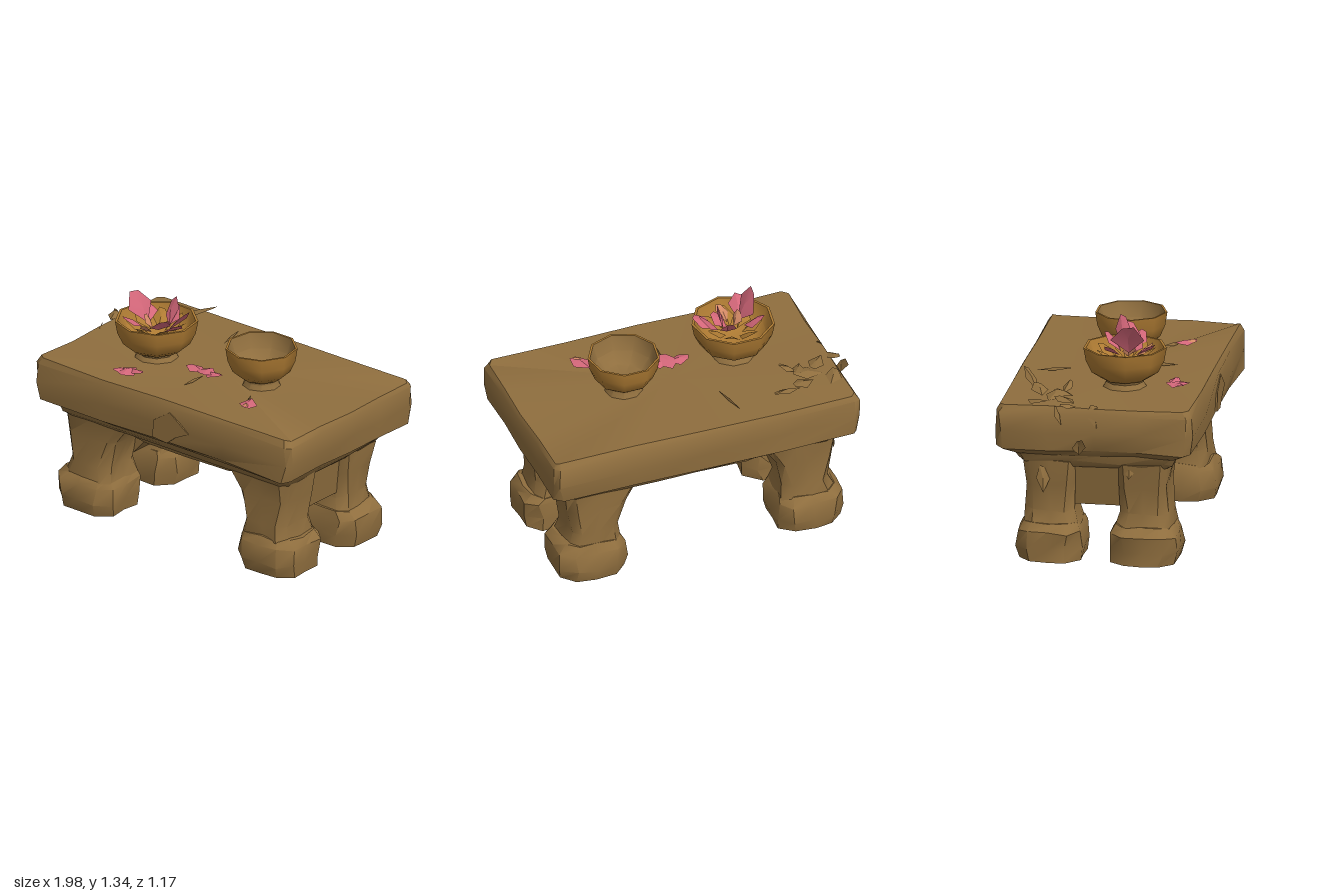
import * as THREE from 'three';
import { toCreasedNormals } from 'three/addons/utils/BufferGeometryUtils.js';

const mat = (name, color) => new THREE.MeshStandardMaterial({ name, color, side: THREE.DoubleSide });

// small seeded generator, returns -1..1
let seed = 7;
const rnd = () => {
  seed = (seed * 16807) % 2147483647;
  return (seed / 2147483647) * 2 - 1;
};

// Chipped stone block: rings of [y, x0, x1, z0, z1, corner], stacked from the bottom up
function stoneBlock(rings, rough, split = 2) {
  const pos = [], idx = [];
  for (const [y, x0, x1, z0, z1, c] of rings) {
    const p = [[x1, z1 - c], [x1, z0 + c], [x1 - c, z0], [x0 + c, z0],
      [x0, z0 + c], [x0, z1 - c], [x0 + c, z1], [x1 - c, z1]];
    p.forEach(([x, z], i) => {
      const [nx, nz] = p[(i + 1) % 8];
      const n = i % 2 ? 1 : split; // long sides are divided, chamfers are not
      for (let k = 0; k < n; k++) {
        const t = k / n;
        pos.push(x + (nx - x) * t + rnd() * rough, y + (y > 0.02 ? rnd() * rough : 0), z + (nz - z) * t + rnd() * rough);
      }
    });
  }
  const n = 4 * split + 4;
  const last = (rings.length - 1) * n;
  for (const r of [rings[0], rings[rings.length - 1]]) pos.push((r[1] + r[2]) / 2, r[0], (r[3] + r[4]) / 2);
  const bottom = rings.length * n, top = bottom + 1;
  for (let i = 0; i < n; i++) {
    const j = (i + 1) % n;
    for (let r = 0; r < last; r += n) idx.push(r + i, r + j, r + n + j, r + i, r + n + j, r + n + i);
    idx.push(bottom, j, i, top, last + i, last + j);
  }
  const g = new THREE.BufferGeometry();
  g.setAttribute('position', new THREE.Float32BufferAttribute(pos, 3));
  g.setIndex(idx);
  return toCreasedNormals(g, 0.75);
}

// Shallow five-sided leaf growing up from its base
function petalGeometry(len, w) {
  const g = new THREE.BufferGeometry();
  g.setAttribute('position', new THREE.Float32BufferAttribute([
    0, 0, 0, w, len * 0.55, 0.008, w * 0.45, len, 0, -w * 0.25, len * 0.93, 0,
    -w, len * 0.5, 0.008, 0, len * 0.5, -0.01], 3));
  g.setIndex([0, 1, 5, 1, 2, 5, 2, 3, 5, 3, 4, 5, 4, 0, 5]);
  return toCreasedNormals(g, 0.3);
}

export function createModel() {
  seed = 7;
  const model = new THREE.Group();
  const stone = mat('brown stone', 0x8f6e3e);
  const gold = mat('golden clay', 0xae7b33);
  const pink = mat('pink petal', 0xd4677a);
  const peach = mat('peach petal', 0xd58a66);
  const add = (name, geometry, material, parent = model) => {
    const m = new THREE.Mesh(geometry, material);
    m.name = name;
    parent.add(m);
    return m;
  };

  // Heavy table top with a bevelled underside
  add('tableTop', stoneBlock([
    [0.655, -0.85, 0.90, -0.50, 0.50, 0.04],
    [0.695, -0.91, 0.97, -0.57, 0.57, 0.04],
    [0.80, -0.92, 0.985, -0.575, 0.575, 0.03],
    [0.92, -0.915, 0.985, -0.575, 0.57, 0.03],
    [0.952, -0.90, 0.965, -0.555, 0.55, 0.03]], 0.008, 4), stone);

  // Apron below the top
  add('apron', stoneBlock([
    [0.57, -0.80, 0.82, -0.41, 0.41, 0.04],
    [0.61, -0.84, 0.86, -0.45, 0.45, 0.04],
    [0.67, -0.85, 0.89, -0.48, 0.48, 0.04]], 0.008, 3), stone);

  // Arched web between the leg pairs, and the slab over it
  const arch = new THREE.Shape([[-0.74, 0.33], [-0.5, 0.33], [-0.41, 0.43], [-0.18, 0.5], [0.22, 0.5],
    [0.4, 0.43], [0.5, 0.33], [0.76, 0.33], [0.8, 0.6], [-0.8, 0.6]].map(([x, y]) => new THREE.Vector2(x, y)));
  const archGeometry = new THREE.ExtrudeGeometry(arch, { depth: 0.36, bevelEnabled: false });
  archGeometry.translate(0, 0, -0.18);
  add('arch', archGeometry, stone);
  add('underSlab', stoneBlock([
    [0.50, -0.34, 0.36, -0.34, 0.31, 0.03],
    [0.59, -0.58, 0.60, -0.38, 0.37, 0.03]], 0.006), stone);

  // Four legs on block feet
  const legRings = [
    [0.20, 0.49, 0.83, 0.11, 0.43, 0.05],
    [0.30, 0.51, 0.80, 0.13, 0.42, 0.05],
    [0.46, 0.47, 0.82, 0.13, 0.41, 0.04],
    [0.60, 0.38, 0.84, 0.12, 0.42, 0.04]];
  const footRings = [
    [0.005, 0.48, 0.875, 0.09, 0.46, 0.08],
    [0.08, 0.47, 0.88, 0.09, 0.48, 0.08],
    [0.18, 0.475, 0.88, 0.09, 0.46, 0.07],
    [0.225, 0.50, 0.84, 0.11, 0.43, 0.06]];
  const place = (sx, sz) => ([y, x0, x1, z0, z1, c]) =>
    [y, sx > 0 ? x0 : -x1, sx > 0 ? x1 : -x0, sz > 0 ? z0 : -z1, sz > 0 ? z1 : -z0, c];
  for (const sx of [1, -1]) for (const sz of [1, -1]) {
    const label = (sz > 0 ? 'front' : 'back') + (sx > 0 ? 'Left' : 'Right');
    add(label + 'Leg', stoneBlock(legRings.map(place(sx, sz)), 0.01), stone);
    add(label + 'Foot', stoneBlock(footRings.map(place(sx, sz)), 0.01), stone);
  }

  // Two faceted bowls, each on a short stone foot
  const bowl = (name, x, z, r, sides, inner) => {
    const g = new THREE.Group();
    g.name = name;
    g.position.set(x, 0.94, z);
    model.add(g);
    const lathe = pts => toCreasedNormals(
      new THREE.LatheGeometry(pts.map(([a, b]) => new THREE.Vector2(a, b)), sides), 0.75);
    add(name + 'Shell', lathe([[0.001, 0.06], [r * 0.55, 0.06], [r * 0.8, 0.1], [r * 0.94, 0.17], [r, 0.25],
      [r * 0.94, 0.25]]), gold, g);
    add(name + 'Inside', lathe([[r * 0.94, 0.25], [r * 0.82, 0.16], [r * 0.55, 0.1], [0.001, 0.09]]), inner, g);
    add(name + 'Foot', lathe([[r * 0.56, 0], [r * 0.45, 0.04], [r * 0.5, 0.08]]), stone, g);
  };
  bowl('flowerBowl', -0.39, 0.1, 0.245, 9, gold);
  bowl('emptyBowl', 0.325, 0.015, 0.212, 9, stone);

  // Petals: [base x, y, z, length, half width, lean, heading]
  const petal = (name, [x, y, z, len, w, lean, heading], material) => {
    const p = add(name, petalGeometry(len, w), material);
    p.position.set(x, y, z);
    p.rotation.set(lean, heading, 0, 'YXZ');
  };
  [[-0.43, 1.16, 0.13, 0.21, 0.1, 0.5, -1.57], [-0.32, 1.15, 0.07, 0.2, 0.05, 0.2, 1.4],
    [-0.3, 1.14, 0.1, 0.19, 0.07, 0.75, 1.6], [-0.29, 1.14, 0.12, 0.16, 0.06, 1.0, 1.1],
    [-0.44, 1.15, 0.17, 0.15, 0.06, 1.0, -0.5], [-0.34, 1.14, 0.07, 0.15, 0.05, 0.7, 2.9],
    [-0.45, 1.15, 0.08, 0.14, 0.06, 1.0, -2.2], [-0.36, 1.13, 0.12, 0.13, 0.06, 0.8, 0.9]]
    .forEach(p => petal('flowerPetal', p, pink));
  [[-0.38, 1.13, 0.17, 0.12, 0.04, 0.9, 0.2], [-0.4, 1.13, 0.12, 0.1, 0.04, 0.5, -1.2]]
    .forEach(p => petal('innerPetal', p, peach));
  for (let i = 0; i < 7; i++) {
    const a = i * 0.9;
    petal('bowlLeaf', [-0.39 + Math.sin(a) * 0.05, 1.1, 0.1 + Math.cos(a) * 0.05, 0.15, 0.05, 1.0, a], gold);
  }

  // Blossoms fallen on the table
  [[-0.35, 0.968, 0.33, 0.14, 0.07, 1.54, -0.2], [-0.36, 0.97, 0.36, 0.1, 0.04, 1.5, 1.2],
    [-0.36, 0.97, 0.39, 0.09, 0.035, 1.5, -1.0], [0.0, 0.972, 0.14, 0.13, 0.05, 1.5, -1.7],
    [-0.01, 0.972, 0.13, 0.13, 0.045, 1.5, 1.5], [0.0, 0.972, 0.06, 0.14, 0.07, 1.45, 0.1],
    [0.44, 0.97, 0.24, 0.15, 0.055, 1.54, 0.4]]
    .forEach(p => petal('fallenPetal', p, pink));
  petal('fallenPetalTip', [0.46, 0.976, 0.32, 0.06, 0.025, 1.5, 0.6], peach);
  [[0.015, 0.964, 0.17, 0.18, 0.005, 1.54, 0], [0.4, 0.965, 0.2, 0.1, 0.01, 1.54, 0.5],
    [-0.22, 0.966, -0.45, 0.22, 0.004, 1.54, 0.25]].forEach(p => petal('stem', p, stone));

  // Loose stone chips around the worn right end
  [[-0.90, 0.96, -0.10, 0.10, 0.04, 1.4, -2.9], [-0.85, 0.965, -0.12, 0.16, 0.05, 1.5, 2.4],
    [-0.80, 0.96, -0.28, 0.18, 0.06, 1.45, 1.3], [-0.72, 0.965, -0.33, 0.16, 0.05, 1.35, 1.9],
    [-0.62, 0.97, -0.38, 0.24, 0.03, 1.25, 2.0], [-0.80, 0.96, -0.40, 0.14, 0.05, 1.45, -0.6],
    [-0.70, 0.965, -0.15, 0.13, 0.04, 1.4, 2.7], [-0.66, 0.965, -0.22, 0.12, 0.03, 1.1, 1.2],
    [-0.95, 0.86, -0.18, 0.12, 0.04, 0.3, 3.0], [-0.93, 0.68, -0.08, 0.11, 0.04, 0.4, -1.4],
    [-0.92, 0.84, 0.02, 0.14, 0.05, 0.3, 2.0], [-0.86, 0.42, -0.3, 0.16, 0.04, 0.2, 1.8],
    [-0.85, 0.52, 0.2, 0.14, 0.05, 0.3, 1.6]]
    .forEach(p => petal('stoneChip', p, stone));

  // Broken slab standing proud of the front edge
  const slab = new THREE.Shape([[-0.03, 0.71], [-0.02, 0.82], [0.1, 0.9], [0.24, 0.8], [0.14, 0.75], [0.08, 0.7]]
    .map(([x, y]) => new THREE.Vector2(x, y)));
  const chip = add('frontSlab', new THREE.ExtrudeGeometry(slab, { depth: 0.012, bevelEnabled: false }), stone);
  chip.position.z = 0.567;

  return model;
}
